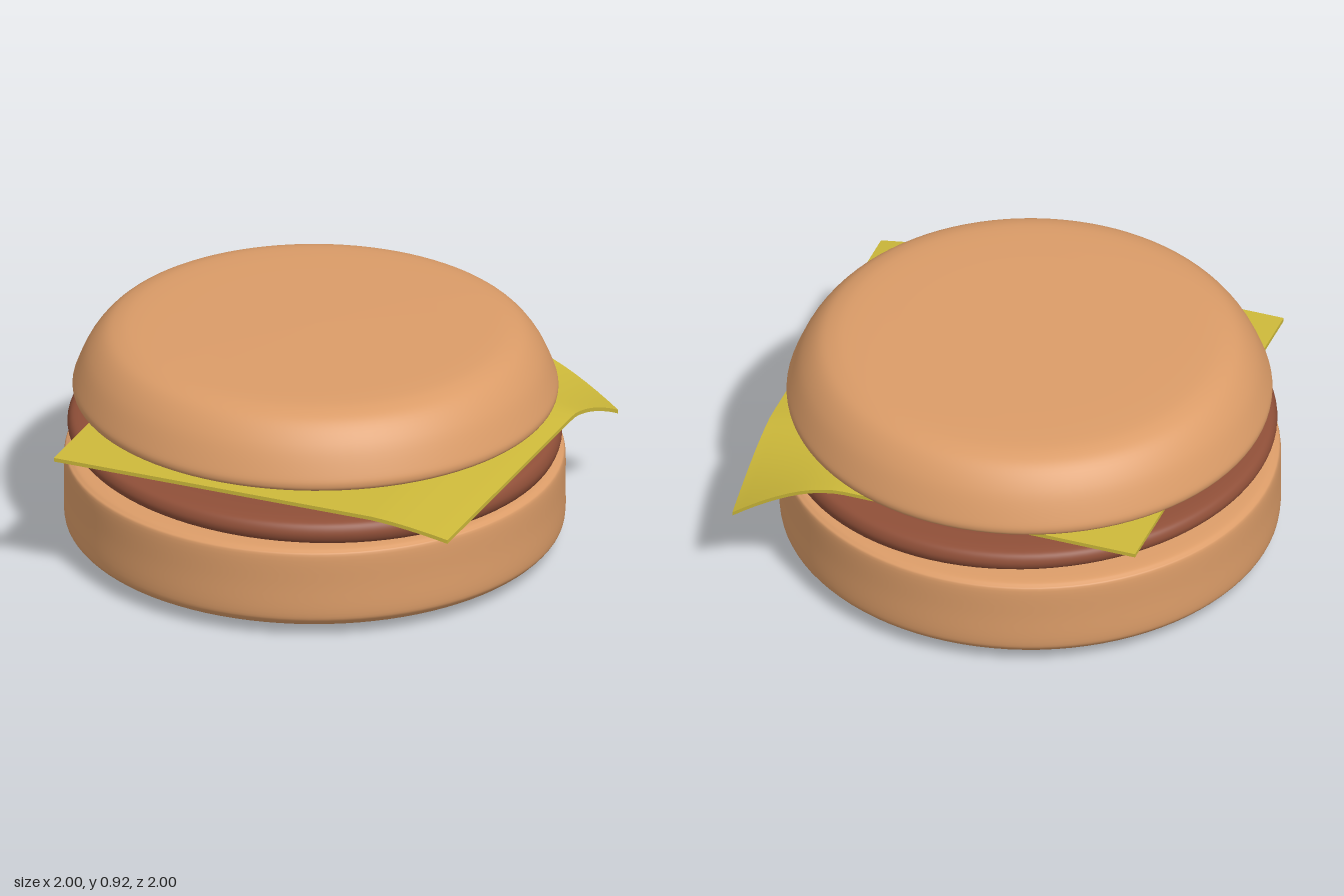
import * as THREE from 'three';

// Closed lathe: flat cap points stay straight, the rounded side is splined.
function turned(side, bottomY, topY) {
  const curve = new THREE.SplineCurve(side.map(([r, y]) => new THREE.Vector2(r, y)));
  const points = [new THREE.Vector2(0, bottomY), ...curve.getPoints(40), new THREE.Vector2(0, topY)];
  return new THREE.LatheGeometry(points, 96);
}

// Move every vertex's height by a rule of its position.
function bend(geometry, rule) {
  const p = geometry.attributes.position;
  for (let i = 0; i < p.count; i++) p.setY(i, rule(p.getX(i), p.getY(i), p.getZ(i)));
  return geometry;
}

export function createModel() {
  const group = new THREE.Group();
  const bread = new THREE.MeshStandardMaterial({ color: 0xdb9c68 });
  const meat = new THREE.MeshStandardMaterial({ color: 0x8f4f38 });
  const dairy = new THREE.MeshStandardMaterial({ color: 0xcdb93a });

  function add(name, geometry, material) {
    const mesh = new THREE.Mesh(geometry, material);
    mesh.name = name;
    group.add(mesh);
    return mesh;
  }

  // Bottom bun: straight wall, softly rounded rims
  add('bottomBun', turned([
    [0.6, 0.01], [0.85, 0.02], [0.94, 0.04], [0.985, 0.07], [1, 0.11], [1, 0.23],
    [1, 0.355], [0.985, 0.38], [0.95, 0.39], [0.85, 0.395],
  ], 0, 0.397), bread);

  // Patty: lies at a slant, thinner on its raised side
  const patty = turned([
    [0.86, -0.052], [0.93, -0.048], [0.97, -0.035], [0.985, 0],
    [0.97, 0.035], [0.93, 0.048], [0.86, 0.052],
  ], -0.052, 0.052);
  bend(patty, (x, y, z) => 0.475 + y * (1 + 0.2 * x) - 0.03 * x - 0.008 * z);
  patty.scale(1, 1, 1.012);
  add('patty', patty, meat);

  // Cheese slice: one side sags, its back corner hangs down
  const cheese = new THREE.BoxGeometry(1.71, 0.016, 1.72, 36, 1, 36);
  cheese.translate(0.105, 0.566, 0.03);
  bend(cheese, (x, y, z) => {
    const sag = Math.max(0, (x - 0.62) / 0.34) ** 1.5;
    const cornerX = Math.max(0, (x - 0.5) / 0.46) ** 1.5;
    const cornerZ = Math.max(0, (-0.38 - z) / 0.45) ** 1.4;
    return y - 0.042 * sag - 0.175 * cornerX * cornerZ;
  });
  cheese.computeVertexNormals();
  add('cheeseSlice', cheese, dairy);

  // Top bun: domed shoulder with a broad flat crown, tipped slightly back
  const topBun = add('topBun', turned([
    [0.84, -0.156], [0.91, -0.151], [0.955, -0.138], [0.969, -0.115], [0.96, -0.075],
    [0.915, 0.025], [0.855, 0.1], [0.79, 0.135], [0.7, 0.149], [0.5, 0.154],
  ], -0.158, 0.156), bread);
  topBun.position.set(0, 0.762, -0.008);
  topBun.rotation.x = -0.01;

  return group;
}
